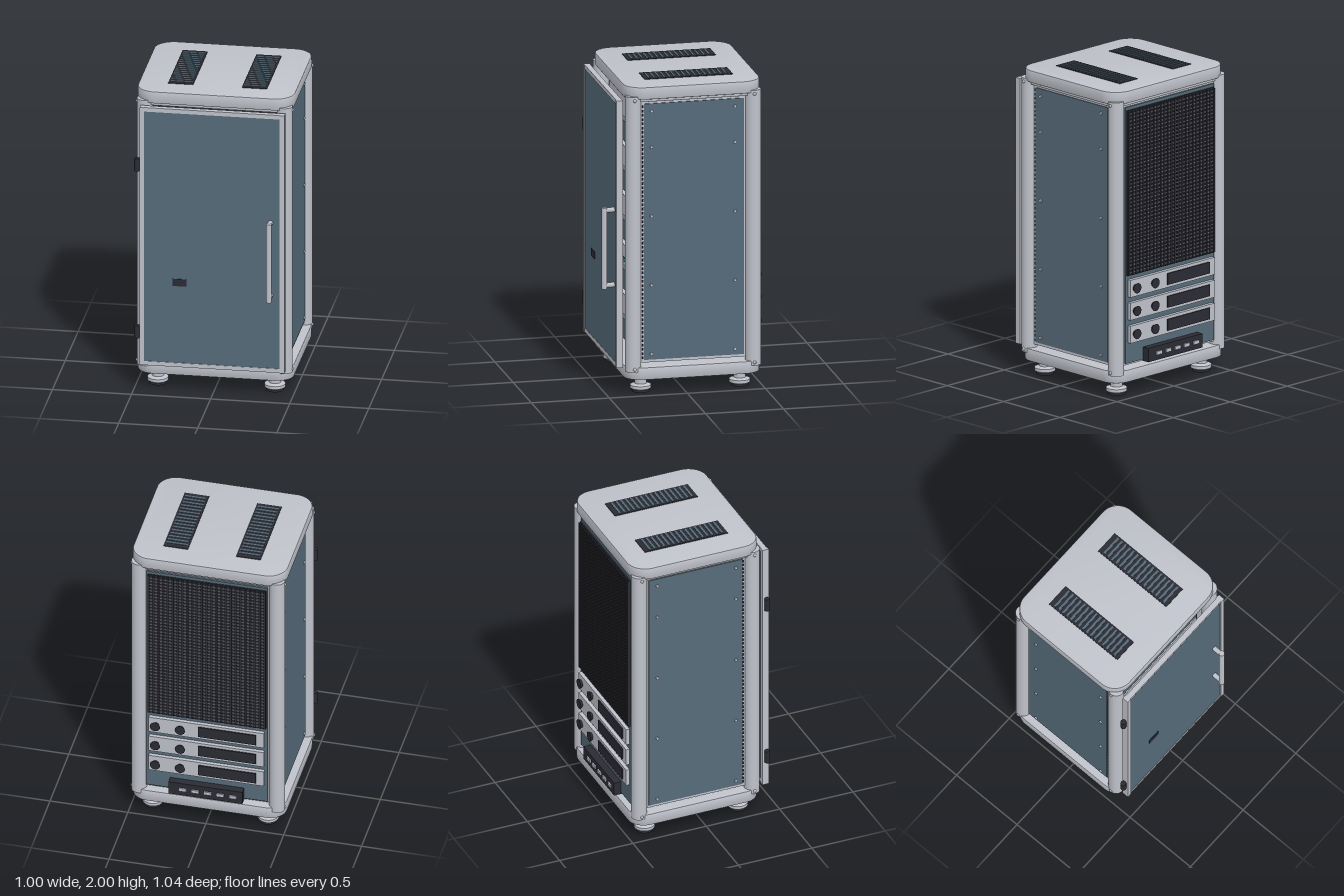
import * as THREE from 'three';
import { toCreasedNormals, mergeGeometries } from 'three/addons/utils/BufferGeometryUtils.js';

const mat = (name, color) => {
  const m = new THREE.MeshStandardMaterial({ color });
  m.name = name;
  return m;
};

export function createModel() {
  const metal = mat('light grey metal', 0xbfc2ca);
  const teal = mat('slate blue panel', 0x566b7a);
  const black = mat('black plastic', 0x2b2b34);
  const wire = mat('mesh grey', 0x6b6f76);
  const green = mat('cable green', 0x168270);

  const root = new THREE.Group();
  root.name = 'cabinet';
  const CZ = -0.05; // depth centre of the cabinet body

  const add = (name, geo, material, x = 0, y = 0, z = 0, parent = root) => {
    const m = new THREE.Mesh(geo, material);
    m.name = name;
    m.position.set(x, y, z);
    parent.add(m);
    return m;
  };
  // Box given by its limits
  const boxGeo = (x0, x1, y0, y1, z0, z1) =>
    new THREE.BoxGeometry(x1 - x0, y1 - y0, z1 - z0)
      .translate((x0 + x1) / 2, (y0 + y1) / 2, (z0 + z1) / 2);
  const box = (name, material, ...lim) => add(name, boxGeo(...lim), material);
  const cyl = (r, h, n = 24) => new THREE.CylinderGeometry(r, r, h, n);

  // Rounded slab lying flat, with a small bevel
  const slab = (hx, hz, r, y0, y1, bevel) => {
    hx -= bevel; hz -= bevel;
    const s = new THREE.Shape();
    s.moveTo(-hx + r, -hz);
    s.lineTo(hx - r, -hz);
    s.absarc(hx - r, -hz + r, r, -Math.PI / 2, 0);
    s.lineTo(hx, hz - r);
    s.absarc(hx - r, hz - r, r, 0, Math.PI / 2);
    s.lineTo(-hx + r, hz);
    s.absarc(-hx + r, hz - r, r, Math.PI / 2, Math.PI);
    s.lineTo(-hx, -hz + r);
    s.absarc(-hx + r, -hz + r, r, Math.PI, Math.PI * 1.5);
    const g = new THREE.ExtrudeGeometry(s, {
      depth: y1 - y0 - 2 * bevel, bevelEnabled: true, bevelSize: bevel,
      bevelThickness: bevel, bevelSegments: 2, curveSegments: 12,
    });
    g.rotateX(-Math.PI / 2).translate(0, y0 + bevel, CZ);
    return toCreasedNormals(g, 0.5);
  };

  // Top and bottom caps
  add('topCap', slab(0.497, 0.436, 0.115, 1.912, 1.993, 0.009), metal);
  add('topRing', slab(0.475, 0.415, 0.1, 1.893, 1.915, 0.002), metal);
  add('bottomCap', slab(0.493, 0.434, 0.1, 0.1, 0.18, 0.006), metal);

  // Corner posts, corner pins and levelling feet
  const footProfile = [[0, 0.016], [0.055, 0.016], [0.066, 0.022], [0.066, 0.042], [0.052, 0.048],
    [0.038, 0.052], [0.038, 0.1], [0, 0.1]].map(p => new THREE.Vector2(...p));
  const footGeo = toCreasedNormals(new THREE.LatheGeometry(footProfile, 28), 0.5);
  for (const sx of [-1, 1]) {
    for (const z of [0.335, -0.433]) {
      add('cornerPost', cyl(0.05, 1.78, 28), metal, sx * 0.442, 1.04, z);
      for (const y of [0.17, 1.907])
        add('cornerPin', new THREE.SphereGeometry(0.011, 10, 8), metal, sx * 0.49, y, z);
    }
    for (const z of [0.27, -0.365]) {
      add('foot', footGeo, metal, sx * 0.37, 0, z);
      add('footPad', cyl(0.055, 0.017), black, sx * 0.37, 0.0085, z);
    }
  }

  // Side panels with frame, rail holes and bolts
  for (const sx of [-1, 1]) {
    const side = new THREE.Group();
    side.name = 'sidePanel';
    root.add(side);
    add('sideFrame', boxGeo(-0.01, 0.01, 0.202, 1.893, -0.388, 0.292), metal, sx * 0.44, 0, 0, side);
    add('sideSheet', boxGeo(-0.008, 0.008, 0.22, 1.875, -0.372, 0.268), teal, sx * 0.448, 0, 0, side);
    const holes = [];
    for (let i = 0; i < 60; i++)
      holes.push(boxGeo(-0.002, 0.002, 0.225 + i * 0.0275, 0.241 + i * 0.0275, 0.27, 0.278));
    add('railHoles', mergeGeometries(holes), black, sx * 0.45, 0, 0, side);
    for (const z of [0.22, -0.315])
      for (const y of [0.257, 0.702, 1.148, 1.595, 1.826])
        add('panelBolt', cyl(0.01, 0.012, 12).rotateZ(Math.PI / 2), metal, sx * 0.459, y, z, side);
  }

  // Front door: sheet, frame rails, stiles, nameplate
  box('doorSheet', teal, -0.432, 0.428, 0.2, 1.885, 0.41, 0.438);
  box('doorTopRail', metal, -0.457, 0.457, 1.878, 1.905, 0.405, 0.441);
  box('doorBottomRail', metal, -0.457, 0.457, 0.178, 0.205, 0.405, 0.441);
  box('doorStileRight', metal, -0.457, -0.43, 0.178, 1.905, 0.402, 0.445);
  box('doorStileLeft', metal, 0.427, 0.457, 0.178, 1.905, 0.402, 0.445);
  box('doorPlate', black, -0.25, -0.163, 0.72, 0.767, 0.436, 0.442);

  // Hinges and pull handle
  for (const y of [0.395, 1.515]) add('hinge', cyl(0.018, 0.083, 20), black, -0.477, y, 0.425);
  add('handleBar', cyl(0.018, 0.525, 20), metal, 0.368, 0.935, 0.502);
  for (const y of [0.695, 1.18])
    add('handleStandoff', cyl(0.016, 0.075, 16).rotateX(Math.PI / 2), metal, 0.368, y, 0.47);

  // Rack units behind the door
  box('rackFace', black, -0.4, 0.4, 0.215, 1.88, 0.24, 0.27);
  for (let i = 0; i < 10; i++)
    box('rackUnit', i % 2 ? metal : teal, -0.36, 0.36, 0.25 + i * 0.16, 0.38 + i * 0.16, 0.265, 0.3);

  // Looping patch cables
  for (let i = 0; i < 6; i++) {
    const x = -0.03 + i * 0.022;
    const pts = [[-0.19 + i * 0.035, 0.9, 0.3], [-0.18 + i * 0.03, 0.91, 0.37], [-0.14 + i * 0.025, 0.84, 0.397],
      [x, 0.75, 0.396], [x + 0.01, 0.74, 0.36], [x + 0.015, 0.78, 0.3]].map(p => new THREE.Vector3(...p));
    add('cable', new THREE.TubeGeometry(new THREE.CatmullRomCurve3(pts), 28, 0.008, 8), green);
  }

  // Slotted vents on the lid
  for (const sx of [-1, 1]) {
    const xc = sx * 0.233;
    box('topVent', black, xc - 0.079, xc + 0.079, 1.989, 1.997, -0.335, 0.23);
    const slats = [];
    for (let i = 0; i < 16; i++) {
      const z = -0.295 + i * 0.0328;
      slats.push(boxGeo(xc - 0.068, xc + 0.068, 1.994, 2.0, z - 0.007, z + 0.007));
    }
    add('topVentSlats', mergeGeometries(slats), teal);

    // Gridded vents underneath
    const xb = sx * 0.205;
    box('bottomVent', black, xb - 0.115, xb + 0.115, 0.095, 0.103, -0.27, 0.17);
    const grid = [];
    for (let i = 0; i < 15; i++) {
      const z = -0.255 + i * 0.0293;
      grid.push(boxGeo(xb - 0.11, xb + 0.11, 0.093, 0.097, z - 0.003, z + 0.003));
    }
    for (let i = 0; i < 6; i++) {
      const x = xb - 0.1 + i * 0.04;
      grid.push(boxGeo(x - 0.003, x + 0.003, 0.093, 0.097, -0.265, 0.165));
    }
    add('bottomVentGrid', mergeGeometries(grid), wire);
  }

  // Rear panel
  box('rearFrame', metal, -0.41, 0.41, 0.202, 1.893, -0.452, -0.43);
  box('rearSheet', teal, -0.388, 0.388, 0.215, 1.88, -0.465, -0.445);

  // Rear mesh: grey wires behind black bars
  box('meshBack', black, -0.38, 0.38, 0.785, 1.86, -0.474, -0.46);
  const rows = [], bars = [];
  for (let i = 0; i < 44; i++) {
    const y = 0.805 + i * 0.024;
    rows.push(boxGeo(-0.37, 0.37, y - 0.004, y + 0.004, -0.479, -0.472));
  }
  for (let i = 0; i < 25; i++) {
    const x = -0.372 + i * 0.031;
    bars.push(boxGeo(x - 0.007, x + 0.007, 0.79, 1.855, -0.483, -0.473));
  }
  add('meshWires', mergeGeometries(rows), wire);
  add('meshBars', mergeGeometries(bars), black);

  // Rear rack units with round plugs and a dark port plate
  for (const y of [0.405, 0.555, 0.703]) {
    box('rearUnit', metal, -0.37, 0.37, y - 0.056, y + 0.056, -0.489, -0.455);
    box('portPlate', black, -0.32, 0.05, y - 0.037, y + 0.037, -0.497, -0.487);
    for (const x of [0.325, 0.165])
      add('plug', new THREE.CylinderGeometry(0.033, 0.022, 0.02, 20).rotateX(-Math.PI / 2).rotateY(0), black, x, y, -0.497)
        .rotation.y = 0;
  }

  // Power strip with five outlets
  box('powerStrip', black, -0.238, 0.237, 0.205, 0.295, -0.513, -0.46);
  for (let i = 0; i < 5; i++) {
    const x = -0.177 + i * 0.0805;
    box('outlet', metal, x - 0.024, x + 0.024, 0.24, 0.262, -0.522, -0.51);
  }
  return root;
}
